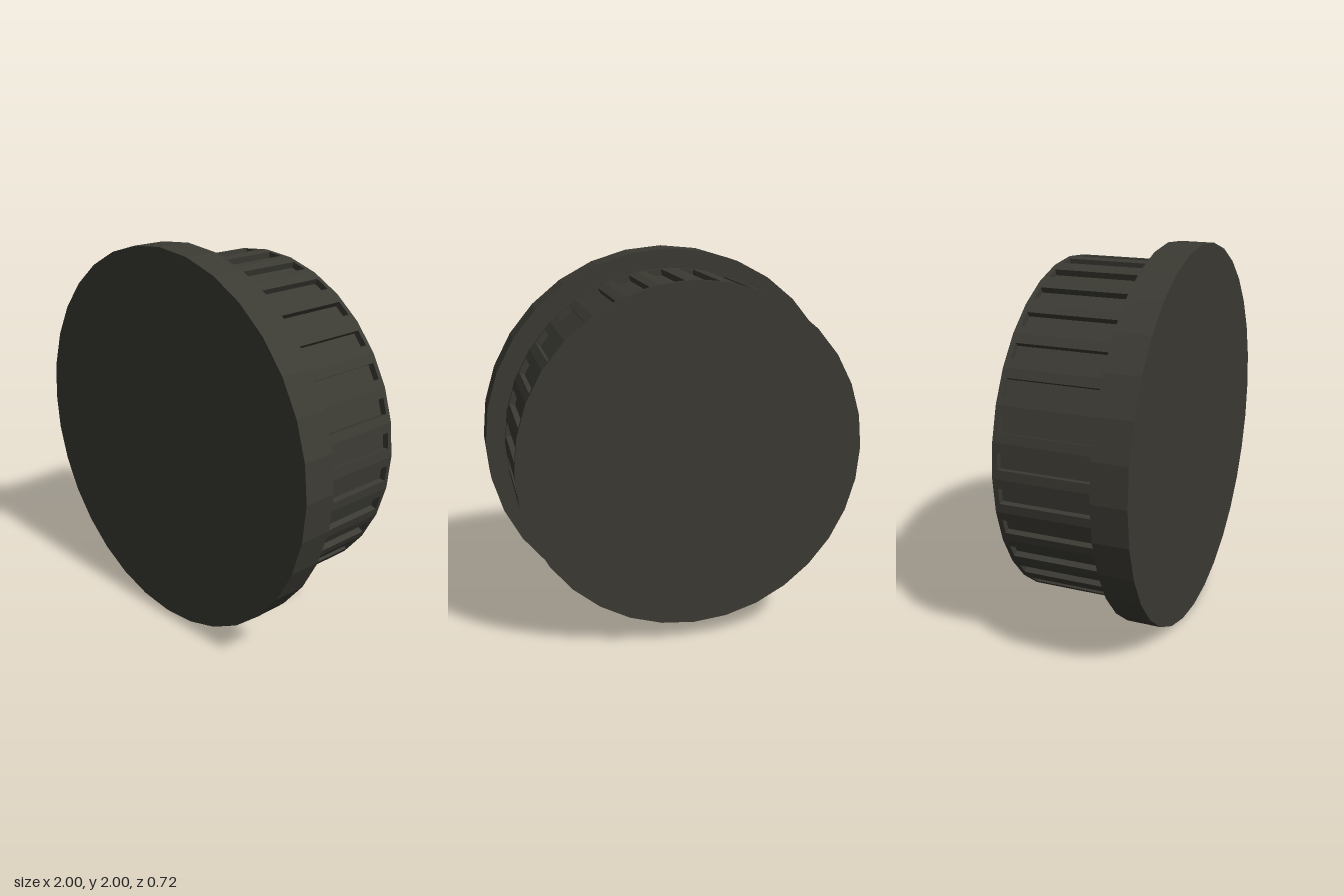
import * as THREE from 'three';
import { mergeGeometries } from 'three/addons/utils/BufferGeometryUtils.js';

const SIDES = 32;
const STEP = (Math.PI * 2) / SIDES;
const BODY_R = 0.9, BACK = -0.36, MID = 0.18, FRONT = 0.36;

// Flat-shaded copy of a geometry
function faceted(geometry) {
  const g = geometry.index ? geometry.toNonIndexed() : geometry;
  g.computeVertexNormals();
  return g;
}

// Rectangle at height y, corners counter-clockwise seen from +y
function rect(halfWidth, y, z0, z1) {
  return [
    [-halfWidth, y, z1], [halfWidth, y, z1],
    [halfWidth, y, z0], [-halfWidth, y, z0],
  ];
}

// One side of the grip, facing +y, with a recessed slot
function gripFacet() {
  const half = BODY_R * Math.sin(STEP / 2);
  const top = BODY_R * Math.cos(STEP / 2);
  const loops = [
    rect(half, top, BACK, MID),
    rect(0.041, top, BACK + 0.025, MID - 0.025),
    rect(0.041, top - 0.032, BACK + 0.025, MID - 0.025),
  ];
  const points = [];
  const quad = (a, b, c, d) => points.push(...a, ...b, ...c, ...a, ...c, ...d);
  // Rim, then slot walls
  for (let k = 0; k < 2; k++) {
    for (let i = 0; i < 4; i++) {
      const j = (i + 1) % 4;
      quad(loops[k][i], loops[k][j], loops[k + 1][j], loops[k + 1][i]);
    }
  }
  quad(...loops[2]); // slot floor
  const g = new THREE.BufferGeometry();
  g.setAttribute('position', new THREE.Float32BufferAttribute(points, 3));
  return faceted(g);
}

export function createModel() {
  const group = new THREE.Group();
  group.name = 'cap';
  const plastic = new THREE.MeshStandardMaterial({ color: 0x3b3a33 });
  plastic.name = 'dark grey plastic';

  const add = (name, geometry) => {
    const mesh = new THREE.Mesh(geometry, plastic);
    mesh.name = name;
    mesh.position.y = 1;
    group.add(mesh);
    return mesh;
  };

  // Wide front disc
  const flange = new THREE.CylinderGeometry(1, 1, FRONT - MID, SIDES);
  flange.rotateX(Math.PI / 2).translate(0, 0, (FRONT + MID) / 2);
  add('flange', faceted(flange));

  // Slotted grip ring
  const facet = gripFacet();
  const facets = [];
  for (let i = 0; i < SIDES; i++) facets.push(facet.clone().rotateZ((i + 0.5) * STEP));
  add('grip', mergeGeometries(facets));

  // Flat back end
  const back = new THREE.CircleGeometry(BODY_R, SIDES);
  back.rotateY(Math.PI).translate(0, 0, BACK);
  add('backEnd', back);

  return group;
}
